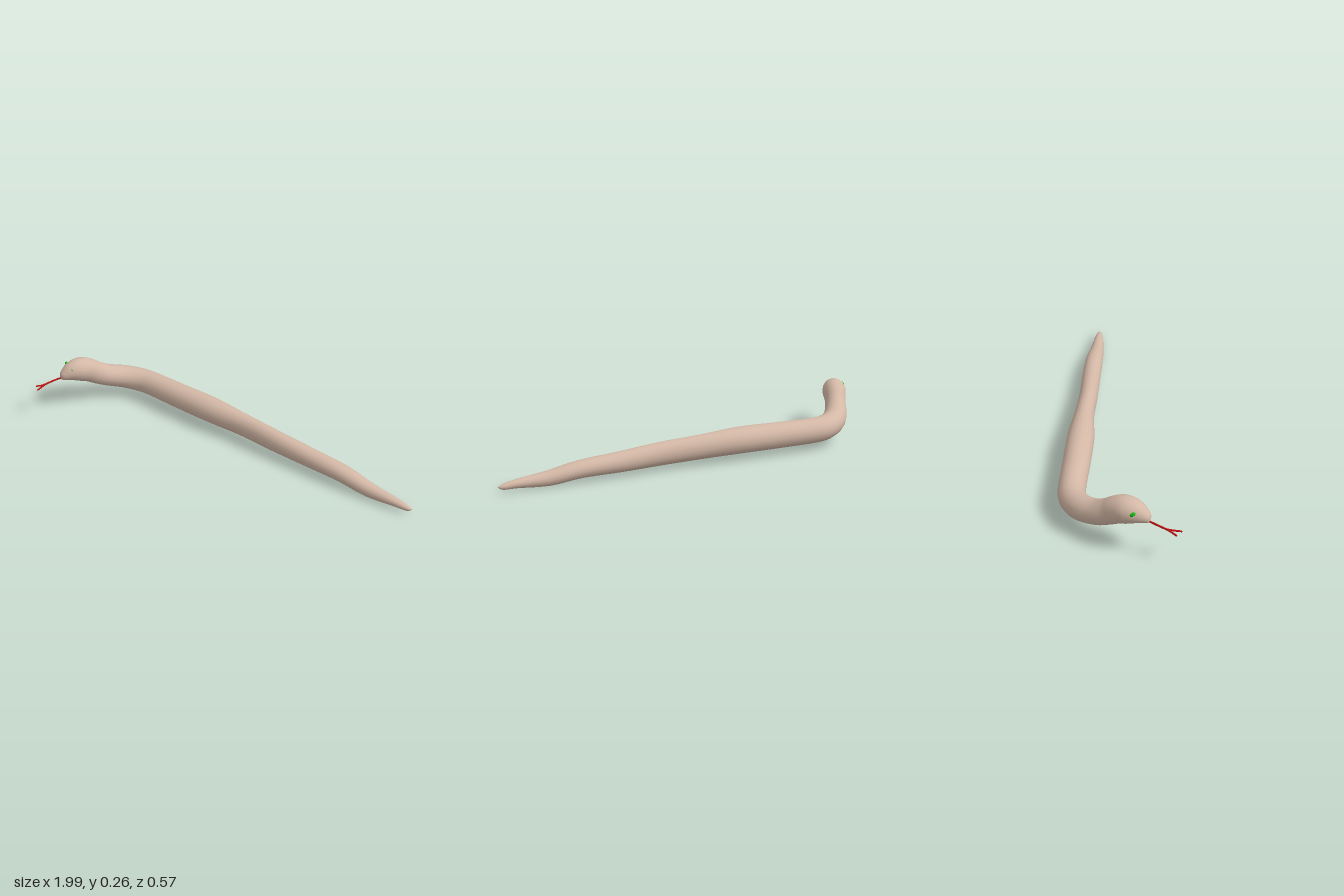
import * as THREE from 'three';

const V = (x, y, z) => new THREE.Vector3(x, y, z);

// Stations from tail tip to nose: centre x, y, z, half width, half height
const STATIONS = [
  [0.99, 0.037, -0.215, 0, 0],
  [0.965, 0.034, -0.214, 0.013, 0.013],
  [0.9, 0.04, -0.212, 0.023, 0.021],
  [0.75, 0.045, -0.212, 0.037, 0.036],
  [0.6, 0.068, -0.215, 0.046, 0.042],
  [0.4, 0.077, -0.215, 0.048, 0.05],
  [0.2, 0.088, -0.212, 0.047, 0.057],
  [0, 0.096, -0.217, 0.05, 0.06],
  [-0.2, 0.103, -0.216, 0.066, 0.066],
  [-0.4, 0.102, -0.217, 0.066, 0.065],
  [-0.6, 0.102, -0.219, 0.064, 0.063],
  [-0.69, 0.106, -0.205, 0.063, 0.062],
  [-0.765, 0.119, -0.16, 0.06, 0.06],
  [-0.82, 0.141, -0.09, 0.056, 0.058],
  [-0.85, 0.17, -0.035, 0.053, 0.06],
  [-0.87, 0.197, 0.005, 0.056, 0.063],
  [-0.888, 0.212, 0.045, 0.06, 0.063],
  [-0.905, 0.212, 0.085, 0.051, 0.053],
  [-0.919, 0.201, 0.12, 0.034, 0.034],
  [-0.928, 0.19, 0.14, 0.017, 0.016],
  [-0.93, 0.188, 0.146, 0, 0],
];

// Elliptical rings swept along the spine, kept upright
function bodyGeometry(sides = 18, steps = 100) {
  const spine = new THREE.CatmullRomCurve3(STATIONS.map(s => V(s[0], s[1], s[2])), false, 'catmullrom');
  const size = new THREE.CatmullRomCurve3(STATIONS.map(s => V(s[3], s[4], 0)), false, 'catmullrom');
  const pos = [], index = [];
  for (let i = 0; i <= steps; i++) {
    const t = i / steps, c = spine.getPoint(t), r = size.getPoint(t);
    const dir = spine.getTangent(t);
    const side = V(0, 1, 0).cross(dir).normalize();
    const up = dir.clone().cross(side);
    for (let j = 0; j < sides; j++) {
      const a = j / sides * Math.PI * 2;
      const p = c.clone().addScaledVector(side, Math.cos(a) * r.x).addScaledVector(up, Math.sin(a) * r.y);
      pos.push(p.x, p.y, p.z);
      if (i < steps) {
        const k = i * sides, n = (j + 1) % sides;
        index.push(k + j, k + n, k + sides + j, k + n, k + sides + n, k + sides + j);
      }
    }
  }
  const g = new THREE.BufferGeometry();
  g.setAttribute('position', new THREE.Float32BufferAttribute(pos, 3));
  g.setIndex(index);
  g.computeVertexNormals();
  return g;
}

export function createModel() {
  const model = new THREE.Group();
  model.name = 'snake';
  const skin = new THREE.MeshStandardMaterial({ color: 0xd4b8a6 });
  const green = new THREE.MeshStandardMaterial({ color: 0x10c010 });
  const red = new THREE.MeshStandardMaterial({ color: 0xc01010 });
  const add = (parent, name, geo, mat) => {
    const m = new THREE.Mesh(geo, mat);
    m.name = name;
    parent.add(m);
    return m;
  };

  add(model, 'body', bodyGeometry(), skin);

  // Eyes: flattened ellipsoids on both sides of the head
  const head = new THREE.Group();
  head.name = 'eyes';
  head.position.set(-0.916, 0.235, 0.089);
  head.rotation.y = -0.42;
  model.add(head);
  for (const s of [1, -1]) {
    const eye = add(head, s > 0 ? 'leftEye' : 'rightEye', new THREE.SphereGeometry(1, 16, 12), green);
    eye.position.x = s * 0.042;
    eye.scale.set(0.008, 0.008, 0.014);
    eye.rotation.set(-0.75, s * -0.4, s * 0.5);
  }

  // Forked tongue: a stem and two tapering tines
  const tongue = new THREE.Group();
  tongue.name = 'tongue';
  model.add(tongue);
  const fork = V(-0.966, 0.173, 0.215);
  const strand = (name, pts, r) =>
    add(tongue, name, new THREE.TubeGeometry(new THREE.CatmullRomCurve3(pts), 12, r, 8), red);
  strand('tongueStem', [V(-0.925, 0.189, 0.125), V(-0.947, 0.182, 0.17), fork], 0.0045);
  const tines = [
    ['leftTine', V(-0.967, 0.169, 0.245), V(-0.966, 0.165, 0.278)],
    ['rightTine', V(-0.979, 0.168, 0.237), V(-0.997, 0.166, 0.257)],
  ];
  for (const [name, mid, end] of tines) {
    strand(name, [fork, mid, end], 0.004);
    add(tongue, name + 'Tip', new THREE.SphereGeometry(0.004, 8, 6), red).position.copy(end);
  }
  add(tongue, 'forkJoint', new THREE.SphereGeometry(0.005, 8, 6), red).position.copy(fork);

  return model;
}
